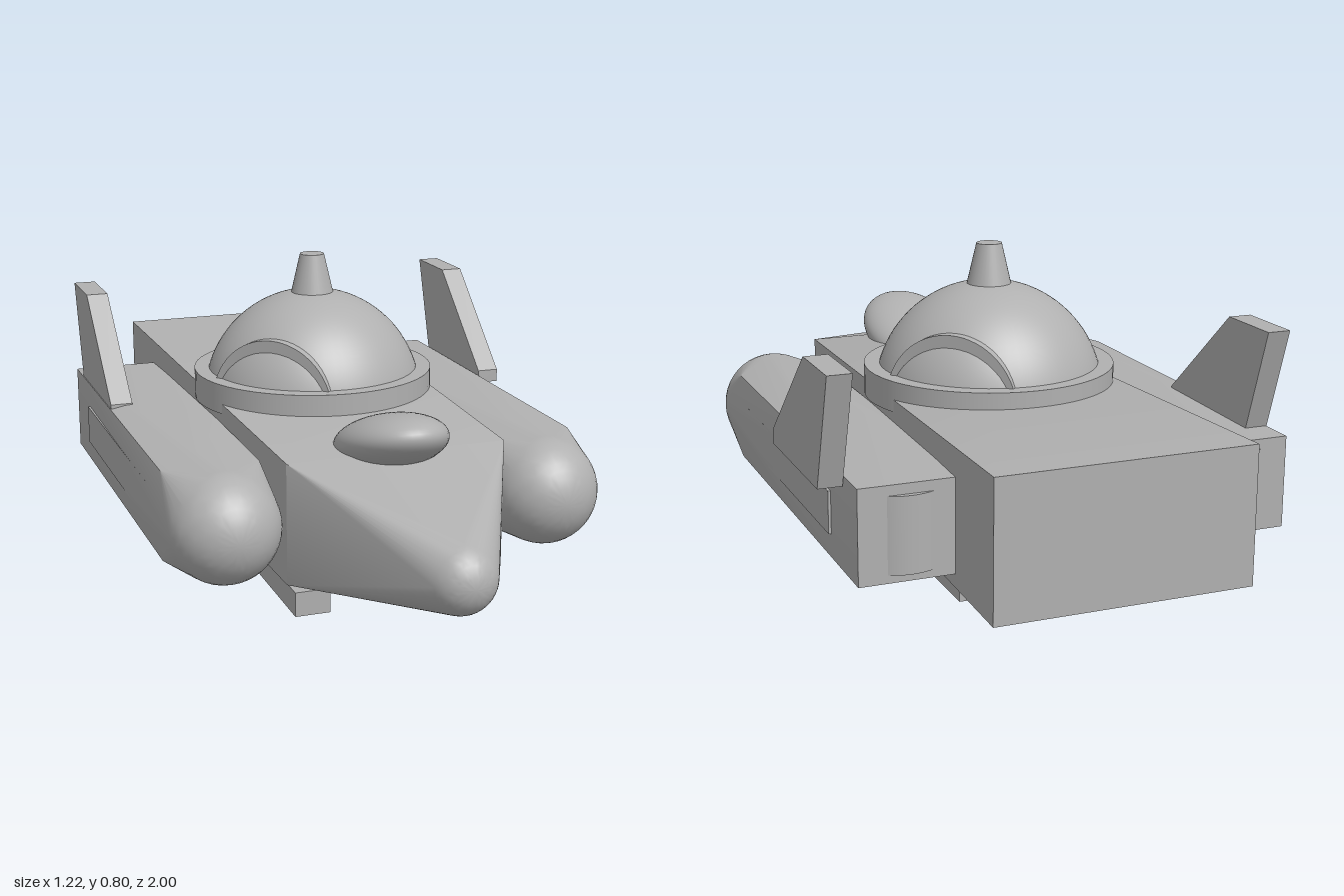
import * as THREE from 'three';
import { toCreasedNormals } from 'three/addons/utils/BufferGeometryUtils.js';
import { ConvexGeometry } from 'three/addons/geometries/ConvexGeometry.js';

const CX = -0.027; // centre line of the hull
const grey = new THREE.MeshStandardMaterial({ color: 0xb0b0b0 });
grey.name = 'grey';

function add(parent, name, geometry, x = 0, y = 0, z = 0) {
  const mesh = new THREE.Mesh(geometry, grey);
  mesh.name = name;
  mesh.position.set(x, y, z);
  parent.add(mesh);
  return mesh;
}

// Four corners of a rectangle across the z axis
const corners = (halfWidth, y0, y1, z) =>
  [[-1, y0], [1, y0], [1, y1], [-1, y1]].map(([s, y]) => new THREE.Vector3(s * halfWidth, y, z));

// Points on a ball, used as the rounded end of a hull
function ball(radius, y, z, around = 40, rings = 20) {
  const points = [];
  for (let i = 0; i <= rings; i++) {
    const a = (i / rings) * Math.PI;
    const count = i === 0 || i === rings ? 1 : around;
    for (let j = 0; j < count; j++) {
      const b = (j / around) * Math.PI * 2;
      points.push(new THREE.Vector3(
        radius * Math.sin(a) * Math.cos(b),
        y + radius * Math.sin(a) * Math.sin(b),
        z + radius * Math.cos(a)));
    }
  }
  return points;
}

const hull = (...sets) => toCreasedNormals(new ConvexGeometry(sets.flat()), 0.4);

export function createModel() {
  const model = new THREE.Group();
  model.name = 'hoverCraft';

  // Body tapering to a ball nose
  add(model, 'body', hull(
    corners(0.335, 0.085, 0.44, -1),
    corners(0.295, 0.085, 0.405, 0.51),
    ball(0.092, 0.218, 0.908)), CX);

  // Cockpit bubble, tilted up at the front
  const cockpit = add(model, 'cockpit', new THREE.SphereGeometry(1, 48, 32), CX, 0.42, 0.46);
  cockpit.scale.set(0.14, 0.072, 0.205);
  cockpit.rotation.x = -0.32;

  // Turret: ring, dome, diagonal drum and spike
  const turret = new THREE.Group();
  turret.name = 'turret';
  turret.position.set(CX, 0, -0.155);
  model.add(turret);
  add(turret, 'turretRing', new THREE.CylinderGeometry(0.338, 0.338, 0.082, 64), 0, 0.431, 0);
  add(turret, 'dome',
    new THREE.SphereGeometry(0.31, 64, 24, 0, Math.PI * 2, 0, Math.PI / 2), 0, 0.382, 0);
  const drum = add(turret, 'drum', new THREE.CylinderGeometry(0.184, 0.184, 0.505, 64), 0, 0.411, 0);
  drum.rotation.set(Math.PI / 2, 0, Math.PI / 4);
  add(turret, 'spike', new THREE.CylinderGeometry(0.034, 0.062, 0.12, 32), 0, 0.735, 0);

  // Fin profile, drawn with z as the first coordinate
  const finShape = new THREE.Shape([
    [-0.262, 0.338], [-0.262, 0.375], [-0.555, 0.635], [-0.745, 0.635], [-0.65, 0.338],
  ].map(([z, y]) => new THREE.Vector2(z, y)));
  const finGeometry = new THREE.ExtrudeGeometry(finShape, { depth: 0.062, bevelEnabled: false });
  finGeometry.rotateY(-Math.PI / 2); // extrusion now runs along -x

  for (const side of [-1, 1]) {
    const pod = new THREE.Group();
    pod.name = side > 0 ? 'leftPod' : 'rightPod';
    pod.position.x = CX + side * 0.44;
    model.add(pod);

    // Square pod with a ball front
    add(pod, 'podShell', hull(
      corners(0.13, 0.12, 0.362, -0.75),
      corners(0.13, 0.12, 0.362, 0.33),
      ball(0.146, 0.238, 0.45)));
    // Rounded exhaust at the back
    add(pod, 'exhaust', new THREE.CylinderGeometry(0.127, 0.127, 0.195, 48), 0, 0.238, -0.637);
    // Raised side panel
    add(pod, 'sidePanel', new THREE.BoxGeometry(0.009, 0.11, 0.77), side * 0.135, 0.24, -0.165);

    // Upright fin
    add(model, side > 0 ? 'leftFin' : 'rightFin', finGeometry, side > 0 ? 0.608 : -0.533);

    // Ground skid
    add(model, side > 0 ? 'leftSkid' : 'rightSkid',
      new THREE.BoxGeometry(0.094, 0.065, 1.165), CX + side * 0.23, 0.0325, -0.0625);
  }
  return model;
}
